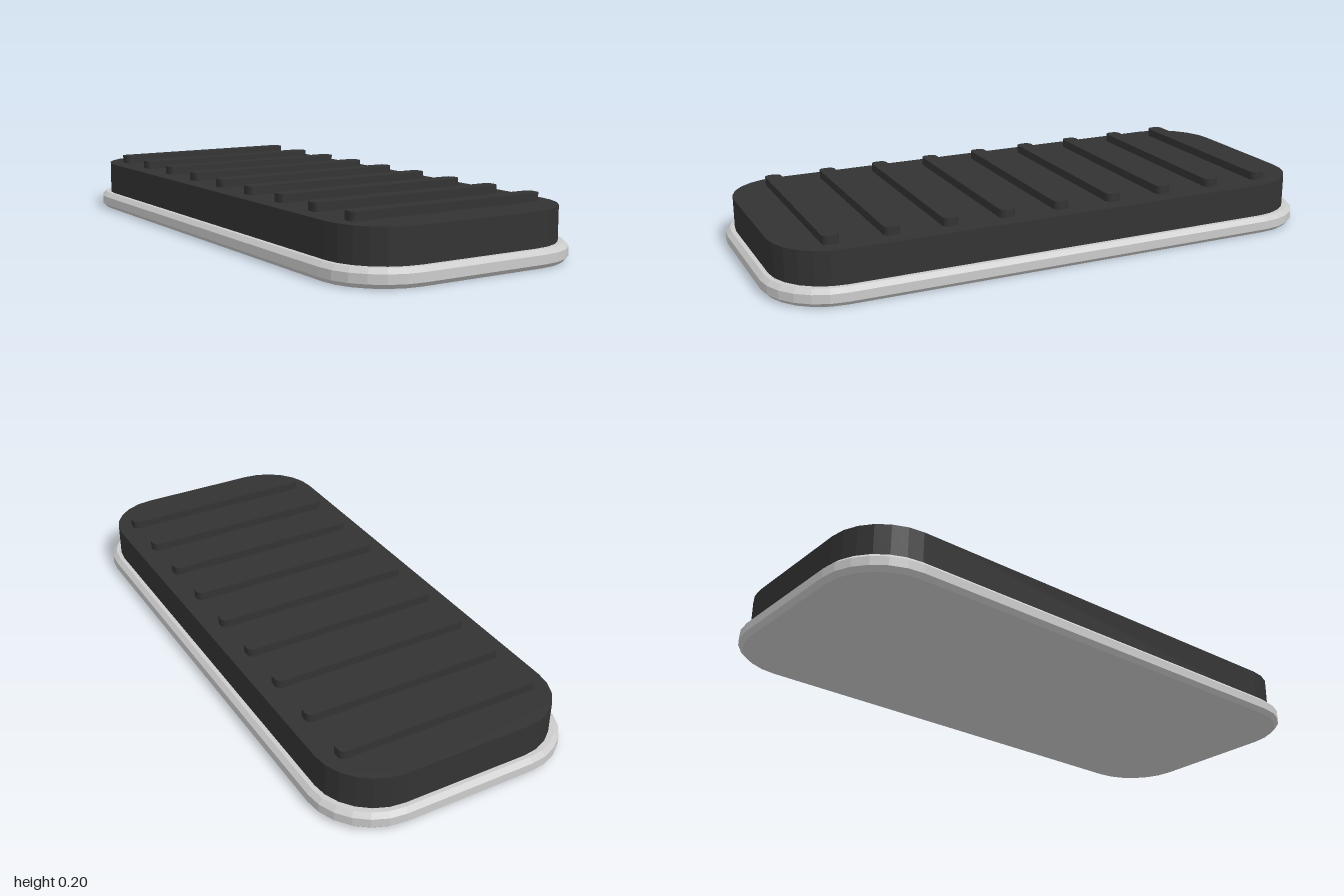
import * as THREE from 'three';

// Rectangle with rounded corners, centred on the origin (half sizes)
function roundedRect(hx, hz, r) {
  const s = new THREE.Shape();
  s.absarc(hx - r, hz - r, r, 0, Math.PI / 2);
  s.absarc(-hx + r, hz - r, r, Math.PI / 2, Math.PI);
  s.absarc(-hx + r, -hz + r, r, Math.PI, Math.PI * 1.5);
  s.absarc(hx - r, -hz + r, r, Math.PI * 1.5, Math.PI * 2);
  s.closePath();
  return s;
}

// Upright slab between y0 and y1, with an optional chamfer on both rims
function slab(name, material, hx, hz, r, y0, y1, chamfer = 0) {
  const geometry = new THREE.ExtrudeGeometry(roundedRect(hx - chamfer, hz - chamfer, r - chamfer), {
    depth: y1 - y0 - 2 * chamfer,
    curveSegments: 3,
    bevelEnabled: chamfer > 0,
    bevelSize: chamfer,
    bevelThickness: chamfer,
    bevelSegments: 1,
  });
  geometry.rotateX(-Math.PI / 2).translate(0, y0 + chamfer, 0);
  const mesh = new THREE.Mesh(geometry, material);
  mesh.name = name;
  return mesh;
}

export function createModel() {
  const model = new THREE.Group();
  model.name = 'pedal';
  const metal = new THREE.MeshStandardMaterial({ color: 0xcccccc, flatShading: true });
  const rubber = new THREE.MeshStandardMaterial({ color: 0x333333, flatShading: true });

  // Chamfered backing plate and the rubber pad on it
  model.add(slab('basePlate', metal, 0.45, 1, 0.22, 0, 0.06, 0.015));
  model.add(slab('rubberPad', rubber, 0.42, 0.97, 0.2, 0.06, 0.175));

  // Nine grip ribs across the pad
  const ribs = new THREE.Group();
  ribs.name = 'gripRibs';
  for (let i = -4; i <= 4; i++) {
    const rib = slab('gripRib', rubber, 0.363, 0.028, 0.02, 0.17, 0.204);
    rib.position.z = i * 0.2;
    ribs.add(rib);
  }
  model.add(ribs);
  return model;
}
